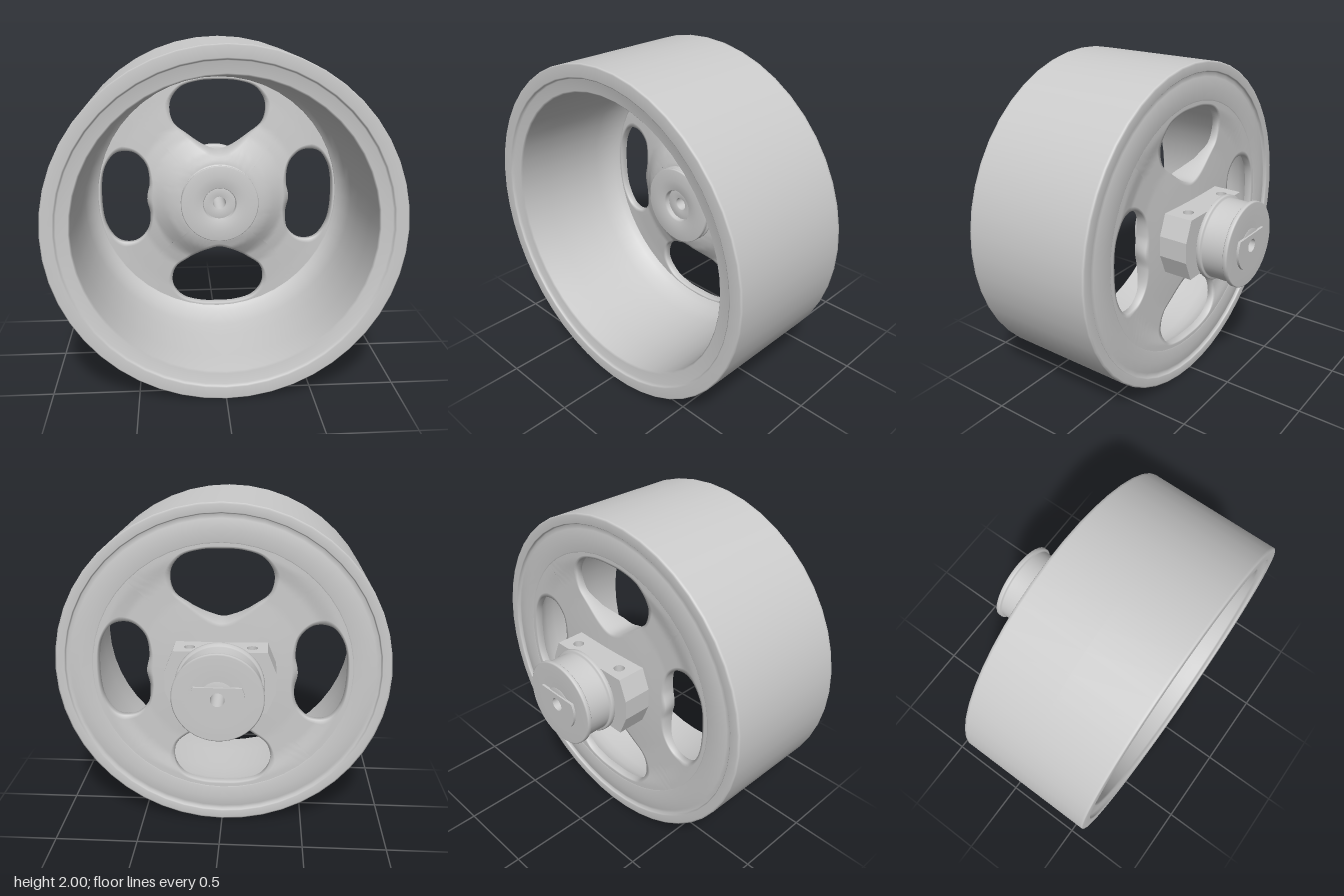
import * as THREE from 'three';

const material = new THREE.MeshStandardMaterial({ color: 0xcccccc });

function part(name, geometry) {
  const mesh = new THREE.Mesh(geometry, material);
  mesh.name = name;
  return mesh;
}

// Profile of [radius, z] points turned about the z axis
function turned(points, segments = 48) {
  const g = new THREE.LatheGeometry(points.map(([r, z]) => new THREE.Vector2(r, z)), segments);
  return g.rotateX(Math.PI / 2);
}

// Linear interpolation through [r, z] stops
function along(stops, r) {
  for (let i = 1; i < stops.length; i++) {
    const [r0, z0] = stops[i - 1], [r1, z1] = stops[i];
    if (r <= r1) return z0 + (z1 - z0) * Math.max(0, (r - r0) / (r1 - r0));
  }
  return stops[stops.length - 1][1];
}

// Front and back surfaces of the thin spoke web, rising to a cone at the hub
const webFront = [[0.15, -0.01], [0.25, -0.015], [0.32, -0.04], [0.42, -0.11], [0.52, -0.14], [0.68, -0.155], [0.86, -0.165]];
const webBack = [[0.15, -0.21], [0.35, -0.2], [0.5, -0.19], [0.65, -0.19], [0.73, -0.205], [0.86, -0.205]];

// One quarter of the web around an opening; outline is half of the opening as [radial, sideways]
function webQuarter(half, centre) {
  const mid = half.slice(1, -1);
  const outline = [half[0], ...mid.map(([u, v]) => [u, -v]), half[half.length - 1], ...mid.slice().reverse()];
  const curve = new THREE.CatmullRomCurve3(outline.map(([u, v]) => new THREE.Vector3(u, v, 0)), true);
  const n = 96, steps = 10, rows = 2 * steps + 2;
  const positions = [], index = [];
  for (let i = 0; i < n; i++) {
    const h = curve.getPoint(i / n);
    const du = h.x - centre, dv = h.y, len = Math.hypot(du, dv);
    const a = du / len, b = dv / len;
    // Distance from the opening's centre to the edge of the quarter
    let d = -centre * a + Math.sqrt(centre * centre * (a * a - 1) + 0.86 * 0.86);
    if (Math.abs(b) > a) d = Math.min(d, centre / (Math.abs(b) - a));
    if (a < 0) d = Math.min(d, (0.11 - centre) / a);
    for (let k = 0; k < rows; k++) {
      const front = k <= steps;
      const s = front ? k / steps : (rows - 1 - k) / steps;
      const x = centre + a * (d + (len - d) * s);
      const y = b * (d + (len - d) * s);
      positions.push(x, y, along(front ? webFront : webBack, Math.hypot(x, y)));
    }
  }
  for (let i = 0; i < n; i++) {
    for (let k = 0; k < rows - 1; k++) {
      const p = i * rows + k, q = ((i + 1) % n) * rows + k;
      index.push(p, q, q + 1, p, q + 1, p + 1);
    }
  }
  const g = new THREE.BufferGeometry();
  g.setAttribute('position', new THREE.Float32BufferAttribute(positions, 3));
  g.setIndex(index);
  g.computeVertexNormals();
  return g;
}

// Half of the clamp block, with an upright screw hole and chamfered ends
function clampHalf(side) {
  const shape = new THREE.Shape([[0.06, 0.19], [0.32, 0.19], [0.32, 0.38], [0.06, 0.38]]
    .map(([x, y]) => new THREE.Vector2(side * x, y)));
  const hole = new THREE.Path();
  hole.absarc(side * 0.18, 0.3, 0.032, 0, Math.PI * 2);
  shape.holes.push(hole);
  const g = new THREE.ExtrudeGeometry(shape, { depth: 0.37, steps: 3, bevelEnabled: false, curveSegments: 16 });
  g.rotateX(-Math.PI / 2).translate(0, -0.18, 0);
  const p = g.attributes.position;
  for (let i = 0; i < p.count; i++) {
    if (Math.abs(p.getX(i)) > 0.3 && (p.getY(i) > 0.18 || p.getY(i) < -0.17)) p.setX(i, side * 0.27);
  }
  g.computeVertexNormals();
  return g;
}

export function createModel() {
  const model = new THREE.Group();
  model.name = 'wheel';
  const wheel = new THREE.Group();
  wheel.name = 'wheelAssembly';
  wheel.position.y = 1;
  model.add(wheel);

  // Wide barrel with a stepped front lip and a narrow back lip
  wheel.add(part('rim', turned([
    [0.76, -0.18], [0.765, -0.2], [0.78, -0.208], [0.85, -0.21], [0.91, -0.205], [0.935, -0.195], [0.94, -0.213], [0.945, -0.218],
    [0.99, -0.218], [1, -0.213], [1, -0.2], [1, 0.2], [1, 0.6], [1, 0.613], [0.993, 0.618],
    [0.93, 0.618], [0.922, 0.613], [0.915, 0.597], [0.85, 0.597], [0.84, 0.587],
    [0.838, 0.4], [0.833, 0.15], [0.825, 0], [0.812, -0.07], [0.79, -0.125], [0.765, -0.154], [0.75, -0.17], [0.76, -0.18]
  ], 48)));

  // Four spokes formed by two kidney and two triangular openings
  const kidney = [[0.45, 0], [0.432, 0.1], [0.452, 0.22], [0.53, 0.295], [0.64, 0.29], [0.715, 0.19], [0.74, 0]];
  const triangle = [[0.3, 0], [0.325, 0.08], [0.40, 0.19], [0.48, 0.28], [0.6, 0.297], [0.695, 0.235], [0.735, 0.12], [0.742, 0]];
  for (let k = 0; k < 4; k++) {
    const g = k % 2 ? webQuarter(triangle, 0.56) : webQuarter(kidney, 0.6);
    wheel.add(part('spokeWeb', g.rotateZ(k * Math.PI / 2)));
  }

  // Front flanged bearing seated on the cone
  wheel.add(part('frontBearing', turned([
    [0.1, -0.06], [0.22, -0.06], [0.225, -0.03], [0.235, -0.025], [0.24, -0.02],
    [0.24, -0.01], [0.235, -0.005], [0.225, 0], [0.225, 0.015], [0.235, 0.02],
    [0.24, 0.025], [0.24, 0.04], [0.235, 0.045], [0.17, 0.05], [0.105, 0.045], [0.1, 0.035], [0.1, -0.06]
  ])));

  // Hollow axle
  wheel.add(part('axle', turned([
    [0.04, -0.61], [0.101, -0.61], [0.101, -0.6], [0.101, 0], [0.1, 0.01], [0.04, 0.01], [0.04, 0], [0.04, -0.61]
  ], 32)));

  // Clamp block behind the spokes
  for (const side of [1, -1]) wheel.add(part('clampHalf', clampHalf(side)));
  for (const [y, h] of [[0.135, 0.11], [-0.13, 0.1]]) {
    wheel.add(part('clampBridge', new THREE.BoxGeometry(0.121, h, 0.19).translate(0, y, -0.285)));
  }

  // Rear pulley with a neck and two flanges
  wheel.add(part('rearNeck', turned([
    [0.1, -0.41], [0.17, -0.41], [0.17, -0.37], [0.1, -0.37]
  ], 32)));
  wheel.add(part('rearPulley', turned([
    [0.09, -0.6], [0.1, -0.605], [0.25, -0.605], [0.257, -0.6], [0.257, -0.58], [0.252, -0.575], [0.243, -0.575],
    [0.24, -0.57], [0.24, -0.5], [0.24, -0.435], [0.243, -0.43], [0.252, -0.43], [0.257, -0.425],
    [0.257, -0.405], [0.25, -0.4], [0.1, -0.4], [0.09, -0.405]
  ])));

  // D-shaped axle end
  const flat = Math.asin(0.07 / 0.15);
  const end = new THREE.Shape();
  end.absarc(0, 0, 0.15, Math.PI - flat, Math.PI * 2 + flat, false);
  const bore = new THREE.Path();
  bore.absarc(0, 0, 0.04, 0, Math.PI * 2);
  end.holes.push(bore);
  const endGeometry = new THREE.ExtrudeGeometry(end, { depth: 0.02, bevelEnabled: false, curveSegments: 32 });
  wheel.add(part('axleEnd', endGeometry.translate(0, 0, -0.62)));

  return model;
}
